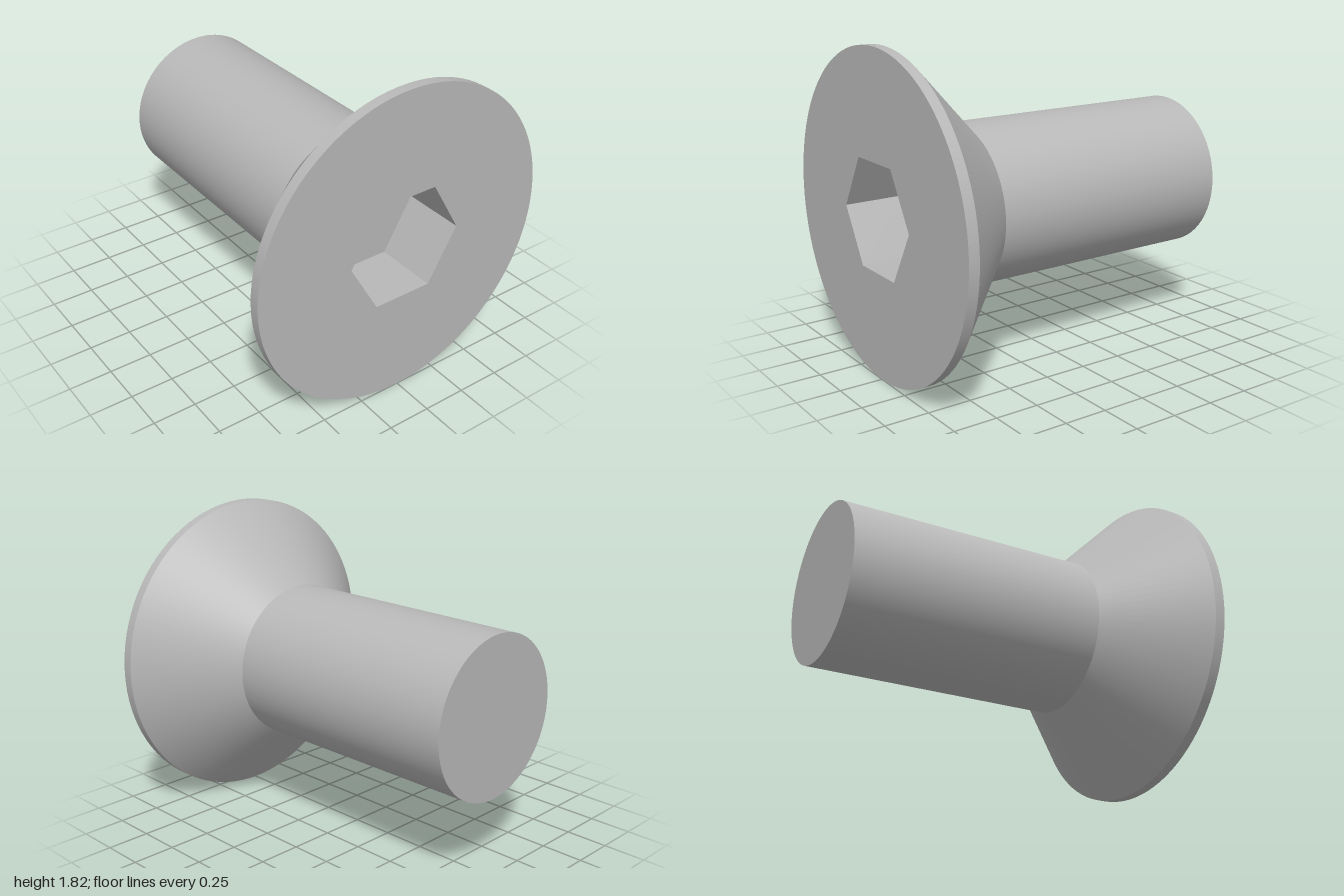
import * as THREE from 'three';

const HEAD_R = 0.909, SHANK_R = 0.4545, HEX_R = 0.35;
const FRONT = 1, RIM_BACK = 0.94, CONE_BACK = 0.485, BACK = -1, SOCKET_FLOOR = 0.636;
const SEGMENTS = 96;

export function createModel() {
  const steel = new THREE.MeshStandardMaterial({ color: 0xb8b8b8 });
  steel.name = 'steel grey';

  const screw = new THREE.Group();
  screw.name = 'countersunkScrew';
  screw.position.y = HEAD_R;

  const add = (name, geometry) => {
    const mesh = new THREE.Mesh(geometry, steel);
    mesh.name = name;
    screw.add(mesh);
  };

  // Open tube along z, from the back radius to the front radius
  const tube = (rBack, rFront, zBack, zFront, sides = SEGMENTS) =>
    new THREE.CylinderGeometry(rFront, rBack, zFront - zBack, sides, 1, true, Math.PI / 2)
      .rotateX(Math.PI / 2)
      .translate(0, 0, (zBack + zFront) / 2);

  // Shank with its flat end
  add('shank', tube(SHANK_R, SHANK_R, BACK, CONE_BACK));
  add('shankEnd', new THREE.CircleGeometry(SHANK_R, SEGMENTS).rotateY(Math.PI).translate(0, 0, BACK));

  // Conical head and its narrow rim
  add('headCone', tube(SHANK_R, HEAD_R, CONE_BACK, RIM_BACK));
  add('headRim', tube(HEAD_R, HEAD_R, RIM_BACK, FRONT));

  // Flat face with the hexagonal opening
  const face = new THREE.Shape().absarc(0, 0, HEAD_R, 0, Math.PI * 2, false);
  const corners = Array.from({ length: 6 }, (_, i) =>
    new THREE.Vector2(Math.cos(i * Math.PI / 3), Math.sin(i * Math.PI / 3)).multiplyScalar(HEX_R));
  face.holes.push(new THREE.Path(corners.reverse()));
  add('headFace', new THREE.ShapeGeometry(face, SEGMENTS).translate(0, 0, FRONT));

  // Socket walls face inwards, so the corner order is reversed
  const walls = tube(HEX_R, HEX_R, SOCKET_FLOOR, FRONT, 6);
  walls.index.array.reverse();
  const flatWalls = walls.toNonIndexed();
  flatWalls.computeVertexNormals();
  add('socketWalls', flatWalls);
  add('socketFloor', new THREE.CircleGeometry(HEX_R, 6).translate(0, 0, SOCKET_FLOOR));

  const model = new THREE.Group();
  model.name = 'screwModel';
  model.add(screw);
  return model;
}
